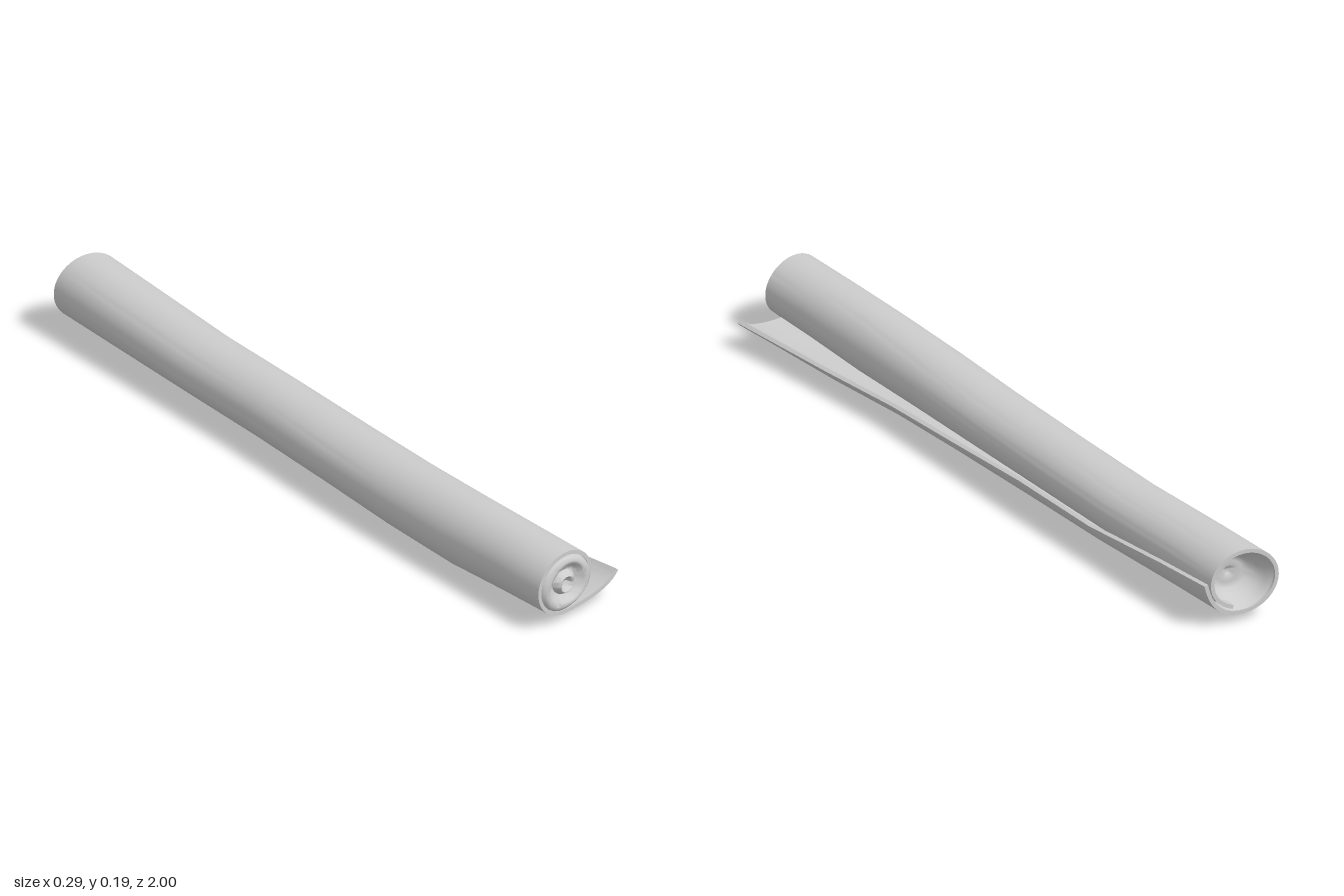
import * as THREE from 'three';
import { toCreasedNormals } from 'three/addons/utils/BufferGeometryUtils.js';

const THICK = 0.01;
// stations along the roll: z, centre x, centre y, radius x, radius y, flap edge x, flap edge y
const STATIONS = [
  [-0.99, -0.042, 0.106, 0.098, 0.084, 0.062, 0.117],
  [-0.80, -0.043, 0.102, 0.097, 0.081, 0.068, 0.108],
  [-0.50, -0.043, 0.094, 0.095, 0.076, 0.075, 0.086],
  [-0.20, -0.043, 0.093, 0.093, 0.079, 0.079, 0.087],
  [0.10, -0.046, 0.091, 0.097, 0.079, 0.081, 0.074],
  [0.35, -0.050, 0.090, 0.097, 0.085, 0.082, 0.064],
  [0.60, -0.048, 0.091, 0.096, 0.090, 0.104, 0.060],
  [0.80, -0.043, 0.097, 0.095, 0.086, 0.124, 0.062],
  [0.96, -0.038, 0.100, 0.097, 0.081, 0.141, 0.066],
];
const LAST = STATIONS.length - 1;
// both ends are cut at a slight slant
const slant = (s, x) => (s === LAST ? -0.22 * x : s === 0 ? 0.07 * x : 0);

function buildMesh(name, positions, index, crease) {
  const geo = new THREE.BufferGeometry();
  geo.setAttribute('position', new THREE.Float32BufferAttribute(positions, 3));
  geo.setIndex(index);
  const mesh = new THREE.Mesh(toCreasedNormals(geo, crease),
    new THREE.MeshStandardMaterial({ color: 0xcccccc, side: THREE.DoubleSide }));
  mesh.name = name;
  return mesh;
}

// spiral outline: from the loose flap edge, under the roll, round it and tucked inside
function spiral([, cx, cy, rx, ry, tx, ty]) {
  const on = (t) => {
    const a = -THREE.MathUtils.degToRad(85 + 345 * t);
    const f = 1 - 0.17 * THREE.MathUtils.smoothstep(t, 0.45, 1);
    return new THREE.Vector2(cx + rx * f * Math.cos(a), cy + ry * f * Math.sin(a));
  };
  const start = on(0);
  const ctrl = new THREE.Vector2(start.x + (tx - start.x) * 0.8, start.y + 0.003);
  const flap = new THREE.QuadraticBezierCurve(new THREE.Vector2(tx, ty), ctrl, start);
  const pts = flap.getPoints(10);
  for (let i = 1; i <= 52; i++) pts.push(on(i / 52));
  return pts;
}

// inward offset that gives the sheet its thickness
function inset(pts) {
  return pts.map((p, i) => {
    const d = pts[Math.min(i + 1, pts.length - 1)].clone().sub(pts[Math.max(i - 1, 0)]).normalize();
    return new THREE.Vector2(p.x + d.y * THICK, p.y - d.x * THICK);
  });
}

function rolledSheet() {
  const pos = [], idx = [];
  let n = 0;
  STATIONS.forEach((st, s) => {
    const outer = spiral(st);
    const ring = [...outer, ...inset(outer).reverse()];
    n = ring.length;
    ring.forEach((p) => pos.push(p.x, p.y, st[0] + slant(s, p.x)));
  });
  for (let s = 0; s < LAST; s++) {
    for (let i = 0; i < n; i++) {
      const a = s * n + i, b = s * n + (i + 1) % n;
      idx.push(a, a + n, b, b, a + n, b + n);
    }
  }
  // edge strips closing the two ends
  for (let i = 0; i < n / 2 - 1; i++) {
    const [a, b, c, d] = [i, i + 1, n - 1 - i, n - 2 - i];
    const o = LAST * n;
    idx.push(o + a, o + c, o + b, o + b, o + c, o + d);
    idx.push(a, b, c, b, d, c);
  }
  return buildMesh('rolledSheet', pos, idx, 0.7);
}

// end surface from rings of [radius factor, z offset]
function endFace(name, s, profile, wobble) {
  const [z, cx, cy, rx, ry] = STATIONS[s];
  const N = 36, pos = [], idx = [];
  profile.forEach(([r, dz], k) => {
    for (let j = 0; j < N; j++) {
      const a = (j / N) * Math.PI * 2;
      const f = r * (1 + (k > 1 ? wobble * Math.sin(3 * a + k) : 0));
      const x = cx - 0.004 + rx * f * Math.cos(a);
      pos.push(x, cy + ry * f * Math.sin(a), z + dz + slant(s, x));
    }
  });
  for (let k = 0; k < profile.length - 1; k++) {
    for (let j = 0; j < N; j++) {
      const a = k * N + j, b = k * N + (j + 1) % N;
      if (s === LAST) idx.push(a, b, a + N, b, b + N, a + N);
      else idx.push(a, a + N, b, b, a + N, b + N);
    }
  }
  return buildMesh(name, pos, idx, 1.4);
}

export function createModel() {
  const group = new THREE.Group();
  group.name = 'rolledMat';
  group.add(rolledSheet());
  // bulging front end with a dip and a small hollow core
  group.add(endFace('frontCoil', LAST, [
    [0.88, -0.04], [0.87, -0.006], [0.81, 0.005], [0.7, 0.012], [0.6, 0.009], [0.48, -0.006],
    [0.38, -0.01], [0.31, 0.002], [0.24, 0.01], [0.17, 0.006], [0.11, -0.01], [0.001, -0.014],
  ], 0.04));
  // hollow back end
  group.add(endFace('backHollow', 0, [
    [0.89, 0.002], [0.85, 0.008], [0.78, 0.025], [0.66, 0.045], [0.5, 0.062],
    [0.34, 0.07], [0.22, 0.064], [0.1, 0.074], [0.001, 0.078],
  ], 0.03));
  return group;
}
